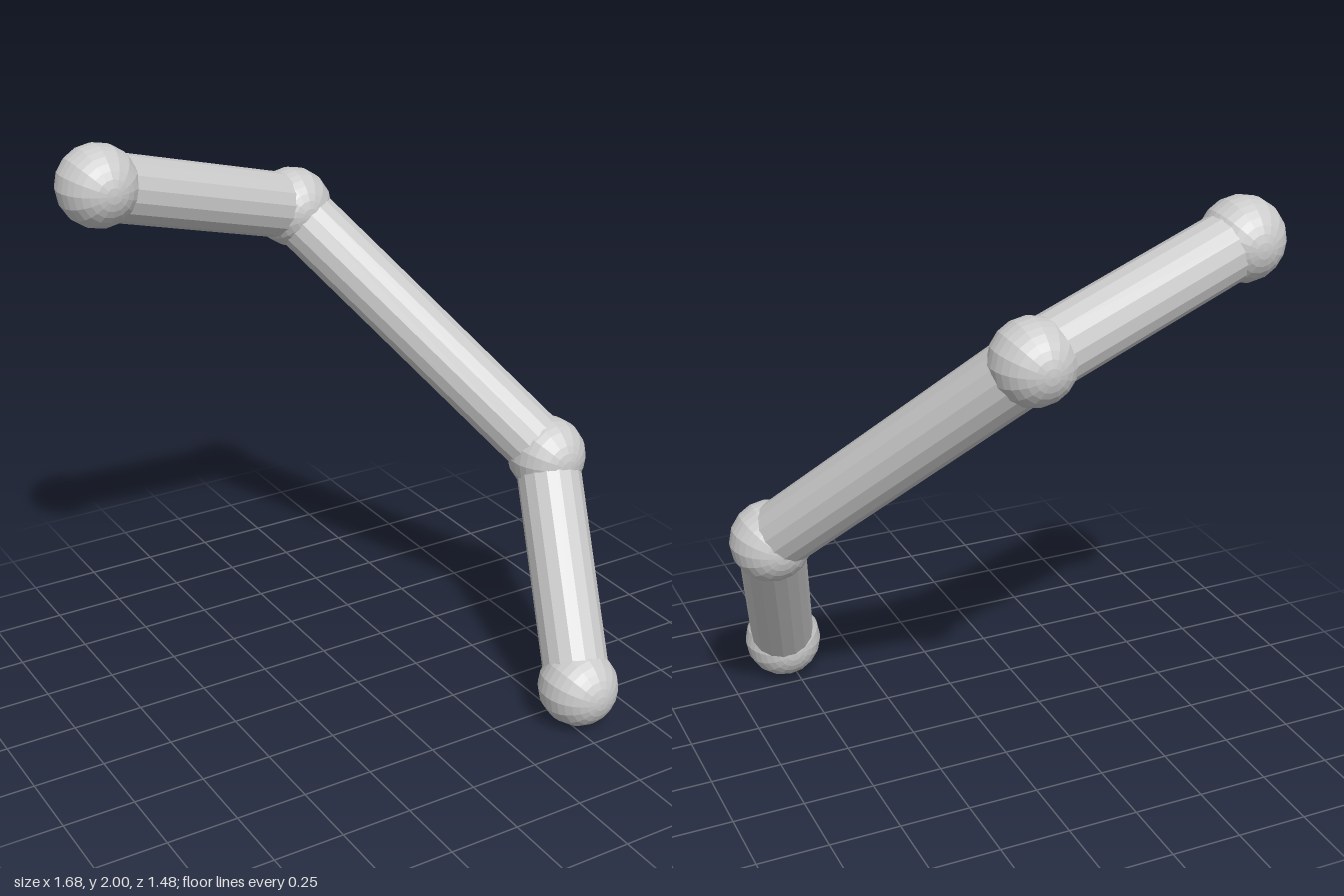
import * as THREE from 'three';

const JOINT_RADIUS = 0.14;
const ROD_RADIUS = 0.115;
const SIDES = 16;

export function createModel() {
  const model = new THREE.Group();
  model.name = 'jointedArm';
  const material = new THREE.MeshStandardMaterial({ color: 0xcccccc, flatShading: true });

  // Joint centres from the upper end down to the foot
  const joints = [
    ['upperEndBall', -0.705, 1.86, -0.46],
    ['upperJointBall', 0.085, 1.625, -0.6],
    ['lowerJointBall', 0.7, 0.805, 0.14],
    ['footBall', 0.535, 0.14, 0.6],
  ].map(([name, x, y, z]) => ({ name, centre: new THREE.Vector3(x, y, z) }));

  // Balls, with their poles along z
  const ballGeometry = new THREE.SphereGeometry(JOINT_RADIUS, SIDES, SIDES).rotateX(Math.PI / 2);
  for (const { name, centre } of joints) {
    const ball = new THREE.Mesh(ballGeometry, material);
    ball.name = name;
    ball.position.copy(centre);
    model.add(ball);
  }

  // Rods joining each ball to the next
  const up = new THREE.Vector3(0, 1, 0);
  ['upperRod', 'middleRod', 'lowerRod'].forEach((name, i) => {
    const start = joints[i].centre;
    const end = joints[i + 1].centre;
    const axis = end.clone().sub(start);
    const rod = new THREE.Mesh(
      new THREE.CylinderGeometry(ROD_RADIUS, ROD_RADIUS, axis.length(), SIDES), material);
    rod.name = name;
    rod.position.lerpVectors(start, end, 0.5);
    rod.quaternion.setFromUnitVectors(up, axis.normalize());
    model.add(rod);
  });

  return model;
}
